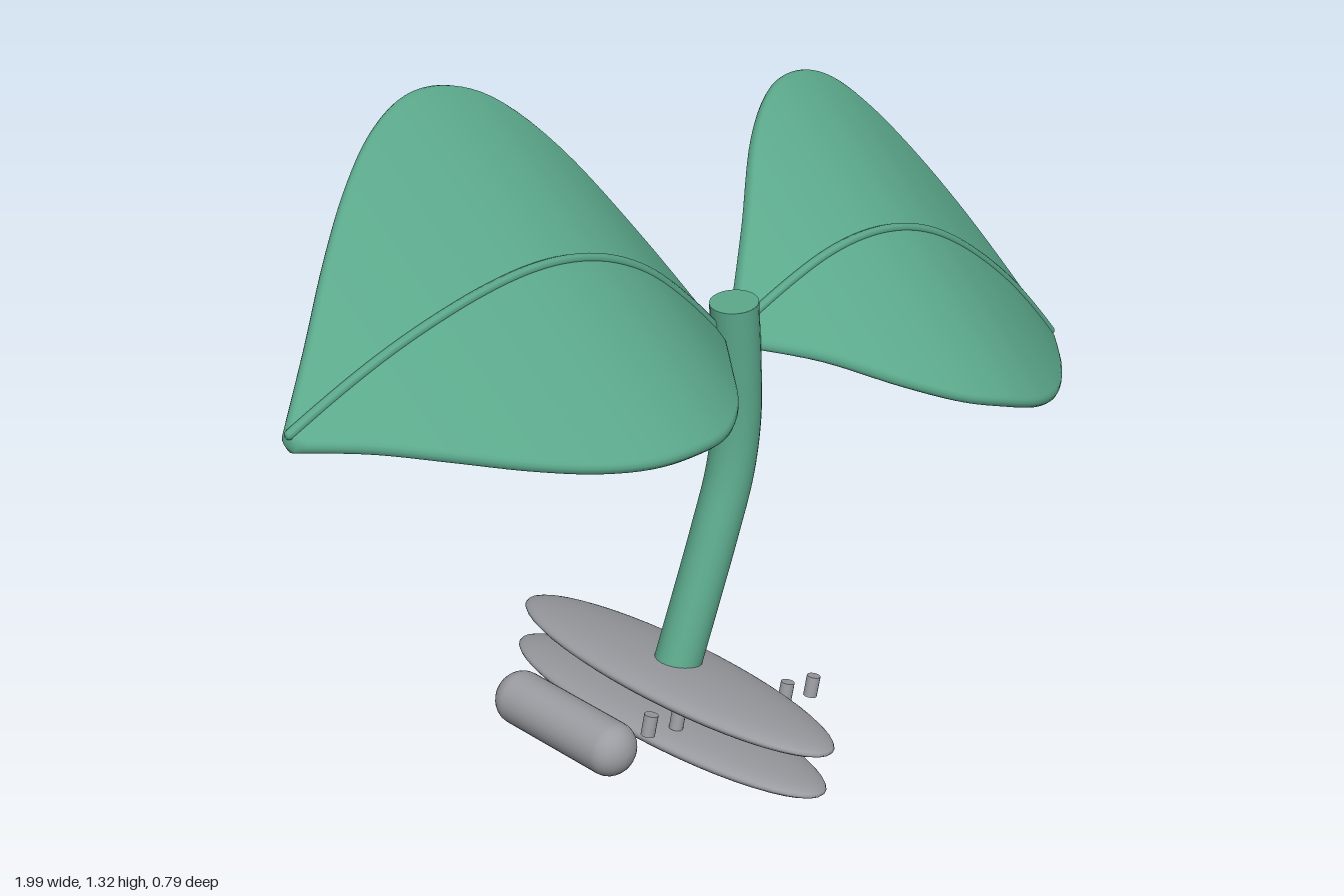
import * as THREE from 'three';

const green = new THREE.MeshStandardMaterial({ color: 0x5ba88b });
green.name = 'leafGreen';
const grey = new THREE.MeshStandardMaterial({ color: 0x9a9ca1 });
grey.name = 'grey';

const v = (x, y, z = 0) => new THREE.Vector3(x, y, z);
const TILT = 0.57; // sideways bank of the leaf blades
const THICK = 0.013;

function add(parent, name, geometry, material) {
  const mesh = new THREE.Mesh(geometry, material);
  mesh.name = name;
  parent.add(mesh);
  return mesh;
}

// arch of the midrib and half width of the blade along a leaf of length 1
const arch = new THREE.SplineCurve([
  [0, 0], [0.1, 0.08], [0.2, 0.145], [0.3, 0.185], [0.4, 0.202], [0.5, 0.198],
  [0.6, 0.177], [0.7, 0.145], [0.8, 0.105], [0.9, 0.056], [1, 0],
].map(p => new THREE.Vector2(...p)));
const width = new THREE.SplineCurve([
  [0, 0.02], [0.1, 0.15], [0.2, 0.285], [0.3, 0.37], [0.4, 0.402], [0.5, 0.4],
  [0.6, 0.36], [0.7, 0.29], [0.8, 0.2], [0.9, 0.1], [1, 0.006],
].map(p => new THREE.Vector2(...p)));

// closed blade: rounded thin sections lofted along the arch
function bladeGeometry(dir) {
  const rings = 48, round = 6;
  const section = [];
  for (const side of [1, -1]) {
    for (let i = 0; i <= round; i++) {
      const a = (i / round - 0.5) * Math.PI;
      section.push([side, side * Math.cos(a) * THICK, side * Math.sin(a) * THICK]);
    }
  }
  const n = section.length, pos = [], idx = [];
  const along = v(0, Math.sin(TILT), -Math.cos(TILT));
  const up = v(0, Math.cos(TILT), Math.sin(TILT));
  for (let r = 0; r <= rings; r++) {
    const m = arch.getPoint(r / rings), w = width.getPoint(r / rings).y;
    for (const [side, out, lift] of section) {
      const p = v(m.x, m.y).addScaledVector(along, side * w + out).addScaledVector(up, lift);
      pos.push(dir * p.x, p.y, p.z);
    }
  }
  const tri = (a, b, c) => (dir > 0 ? idx.push(a, b, c) : idx.push(a, c, b));
  for (let r = 0; r < rings; r++) {
    for (let i = 0; i < n; i++) {
      const a = r * n + i, b = r * n + (i + 1) % n;
      tri(a, a + n, b);
      tri(b, a + n, b + n);
    }
  }
  const last = rings * n;
  for (let i = 1; i < n - 1; i++) {
    tri(0, i, i + 1);
    tri(last, last + i + 1, last + i);
  }
  const g = new THREE.BufferGeometry();
  g.setAttribute('position', new THREE.Float32BufferAttribute(pos, 3));
  g.setIndex(idx);
  // make sure the faces look outwards
  let volume = 0;
  for (let i = 0; i < idx.length; i += 3) {
    const [a, b, c] = [0, 1, 2].map(k => v(...pos.slice(idx[i + k] * 3, idx[i + k] * 3 + 3)));
    volume += a.dot(b.cross(c));
  }
  if (volume < 0) {
    for (let i = 0; i < idx.length; i += 3) [idx[i + 1], idx[i + 2]] = [idx[i + 2], idx[i + 1]];
    g.setIndex(idx);
  }
  g.computeVertexNormals();
  return g;
}

function leaf(name, dir, base, tip) {
  const group = new THREE.Group();
  group.name = name;
  add(group, 'blade', bladeGeometry(dir), green);
  const ribPoints = [];
  for (let i = 0; i <= 16; i++) {
    const m = arch.getPoint(i / 16);
    ribPoints.push(v(dir * m.x, m.y + 0.014));
  }
  const rib = new THREE.CatmullRomCurve3(ribPoints);
  add(group, 'midrib', new THREE.TubeGeometry(rib, 48, 0.009, 8), green);
  for (const end of [0, 1]) {
    add(group, 'midribEnd', new THREE.SphereGeometry(0.009, 8, 6), green)
      .position.copy(rib.getPoint(end));
  }
  const d = tip.clone().sub(base);
  group.scale.x = d.length();
  group.rotation.z = Math.atan2(dir * d.y, dir * d.x);
  group.position.copy(base);
  return group;
}

export function createModel() {
  const model = new THREE.Group();
  model.name = 'sprout';

  // bent stem with a flat top
  const path = new THREE.CatmullRomCurve3([
    v(-0.13, 0.13), v(-0.08, 0.25), v(-0.015, 0.41), v(0.028, 0.53),
    v(0.046, 0.64), v(0.045, 0.76), v(0.038, 0.88),
  ]);
  add(model, 'stem', new THREE.TubeGeometry(path, 40, 0.046, 24), green);
  for (const end of [0, 1]) {
    const cap = add(model, 'stemCap', new THREE.CircleGeometry(0.046, 24), green);
    cap.position.copy(path.getPoint(end));
    const t = path.getTangent(end).multiplyScalar(end ? 1 : -1);
    cap.quaternion.setFromUnitVectors(v(0, 0, 1), t);
  }

  // pair of leaves
  model.add(leaf('rightLeaf', -1, v(0.0, 0.822, -0.01), v(-0.992, 0.99, -0.01)));
  model.add(leaf('leftLeaf', 1, v(0.062, 0.805, -0.01), v(0.978, 0.458, -0.01)));

  // two lens-shaped plates at the foot
  const plates = [['upperPlate', -0.12, 0.147], ['lowerPlate', -0.14, 0.066]];
  for (const [name, x, y] of plates) {
    const plate = add(model, name, new THREE.SphereGeometry(1, 48, 24), grey);
    plate.scale.set(0.133, 0.031, 0.395);
    plate.rotation.z = -0.25;
    plate.position.set(x, y, 0);
  }

  // sloping row of small pegs
  for (let i = 0; i < 7; i++) {
    const peg = add(model, 'peg', new THREE.CylinderGeometry(0.0135, 0.0135, 0.042, 16), grey);
    peg.position.set(-0.279 + i * 0.0738, 0.148 - i * 0.0198, 0.092);
    peg.rotation.z = -0.25;
  }

  // round-ended bar lying along z
  const profile = [];
  for (let i = 0; i <= 16; i++) {
    const a = (i / 16 - 0.5) * Math.PI, s = i < 8 ? -1 : 1;
    if (i === 8) profile.push(new THREE.Vector2(0.052, -0.12));
    profile.push(new THREE.Vector2(Math.max(0, 0.052 * Math.cos(a)), s * 0.12 + 0.045 * Math.sin(a)));
  }
  const bar = add(model, 'bar', new THREE.LatheGeometry(profile, 32), grey);
  bar.rotation.x = Math.PI / 2;
  bar.position.set(-0.406, 0.17, 0);

  return model;
}
